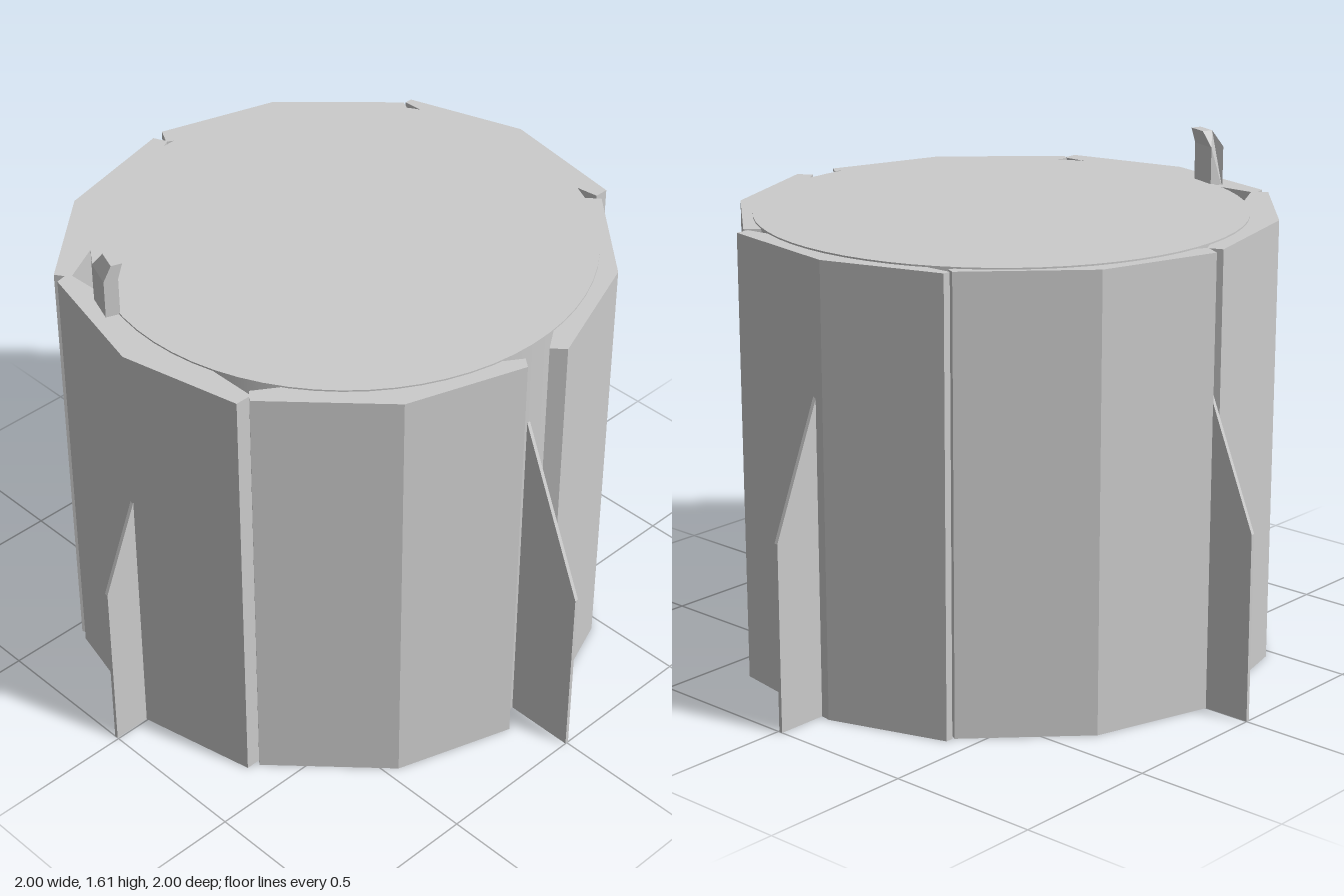
import * as THREE from 'three';

const GREY = new THREE.MeshStandardMaterial({ color: 0xcccccc, side: THREE.DoubleSide });
const WALL_TOP = 1.435;
const LID_Y = 1.44;
const RADIUS = 0.772;

function add(parent, name, geometry) {
  const mesh = new THREE.Mesh(geometry, GREY);
  mesh.name = name;
  parent.add(mesh);
  return mesh;
}

function extrude(points, depth) {
  const shape = new THREE.Shape(points.map(([x, y]) => new THREE.Vector2(x, y)));
  return new THREE.ExtrudeGeometry(shape, { depth, bevelEnabled: false });
}

export function createModel() {
  const model = new THREE.Group();
  model.name = 'panelledDrum';

  // Hollow drum, open underneath, with a flat lid
  const drum = add(model, 'drumWall',
    new THREE.CylinderGeometry(RADIUS, RADIUS, LID_Y, 64, 1, true));
  drum.position.y = LID_Y / 2;
  const lid = add(model, 'lid', new THREE.CircleGeometry(RADIUS, 64));
  lid.rotation.x = -Math.PI / 2;
  lid.position.y = LID_Y;

  // Six irregular wall panels: bent outer face, straight inner face (x, z)
  const panels = {
    backLeftwardPanel: [[-0.76, -0.465], [-0.46, -0.73], [-0.045, -0.835], [-0.025, -0.79], [-0.73, -0.42]],
    backRightwardPanel: [[0, -0.845], [0.38, -0.73], [0.685, -0.43], [0.67, -0.4], [-0.03, -0.79]],
    sideLeftPanel: [[0.69, -0.425], [0.715, -0.425], [0.838, -0.05], [0.765, 0.38], [0.72, 0.38], [0.71, 0.3]],
    frontLeftPanel: [[0.72, 0.40], [0.455, 0.70], [0.06, 0.855], [0.025, 0.815], [0.68, 0.36]],
    frontRightPanel: [[-0.76, 0.395], [-0.46, 0.71], [-0.085, 0.832], [-0.06, 0.80], [-0.73, 0.36]],
    sideRightPanel: [[-0.795, 0.38], [-0.88, -0.01], [-0.775, -0.43], [-0.725, -0.44], [-0.72, -0.28], [-0.74, 0.23], [-0.74, 0.38]],
  };
  for (const [name, outline] of Object.entries(panels)) {
    const geometry = extrude(outline.map(([x, z]) => [x, -z]), WALL_TOP);
    geometry.rotateX(-Math.PI / 2);
    add(model, name, geometry);
  }

  // Four thin tapered fins
  const finProfile = [[0.77, 0], [1, 0], [1, 0.6], [0.77, 1.16]];
  const fins = [['leftFin', 0, 0, -0.01], ['backFin', 1, -0.005, 0],
    ['rightFin', 2, 0, -0.01], ['frontFin', 3, 0, 0]];
  for (const [name, quarter, x, z] of fins) {
    const geometry = extrude(finProfile, 0.012);
    geometry.translate(0, 0, -0.006);
    const fin = add(model, name, geometry);
    fin.rotation.y = quarter * Math.PI / 2;
    fin.position.set(x, 0, z);
  }

  // Bent tab standing on the rim, its rear top corner cut off
  const width = 0.1;
  const tabGeometry = extrude([[0, 1.42], [0, 1.56], [-0.025, 1.61],
    [-0.06, 1.61], [-0.045, 1.56], [-0.045, 1.42]], width);
  const p = tabGeometry.attributes.position;
  for (let i = 0; i < p.count; i++) {
    if (p.getY(i) > 1.6 && p.getZ(i) > width / 2) p.setZ(i, width - 0.03);
  }
  tabGeometry.computeVertexNormals();
  const tab = add(model, 'rimTab', tabGeometry);
  tab.rotation.y = 2.79;
  tab.position.set(-0.79, 0, -0.19);

  return model;
}
